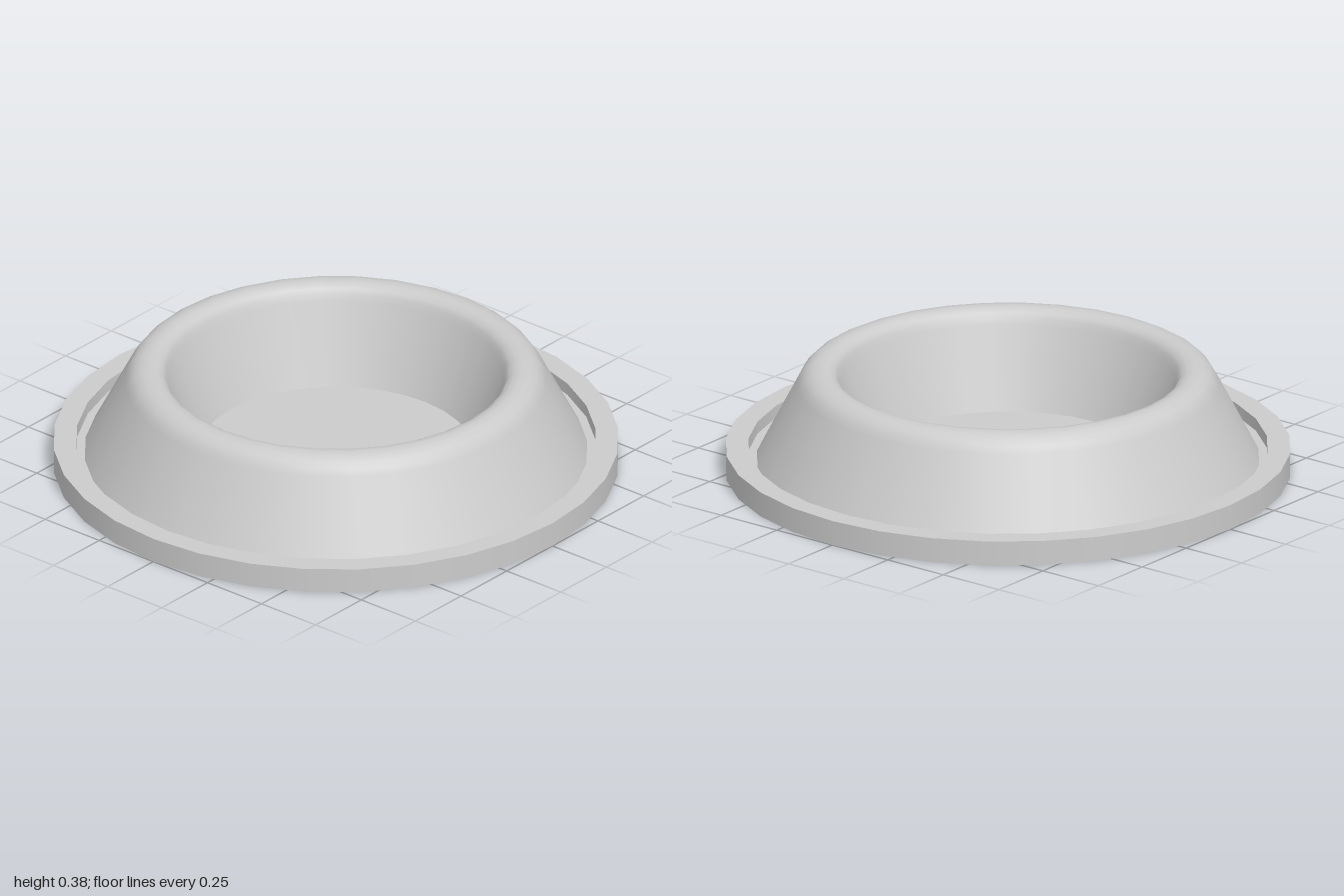
import * as THREE from 'three';
import { mergeGeometries } from 'three/addons/utils/BufferGeometryUtils.js';

const SIDES = 32;
const material = new THREE.MeshStandardMaterial({ color: 0xcccccc });

// Each profile is smooth along its length; a new profile starts a sharp edge.
function turned(name, profiles) {
  const parts = profiles.map((points) =>
    new THREE.LatheGeometry(points.map(([r, y]) => new THREE.Vector2(r, y)), SIDES));
  const mesh = new THREE.Mesh(mergeGeometries(parts), material);
  mesh.name = name;
  return mesh;
}

export function createModel() {
  const group = new THREE.Group();
  group.name = 'ringDish';
  const floor = 0.045;
  const rim = 0.09;

  // Round tray with a low raised lip
  group.add(turned('baseTray', [
    [[0, 0], [1, 0]],
    [[1, 0], [1, rim]],
    [[1, rim], [0.92, rim]],
    [[0.92, rim], [0.92, floor]],
    [[0.92, floor], [0.885, floor]],
  ]));

  // Sloping ring wall with a rounded top edge
  group.add(turned('ringWall', [[
    [0.89, floor], [0.745, 0.325], [0.732, 0.347], [0.715, 0.366], [0.69, 0.38],
    [0.66, 0.385], [0.635, 0.381], [0.615, 0.37], [0.603, 0.353], [0.595, 0.33],
    [0.485, floor],
  ]]));

  // Flat floor inside the ring
  group.add(turned('dishFloor', [[[0.485, floor], [0, floor]]]));

  return group;
}
